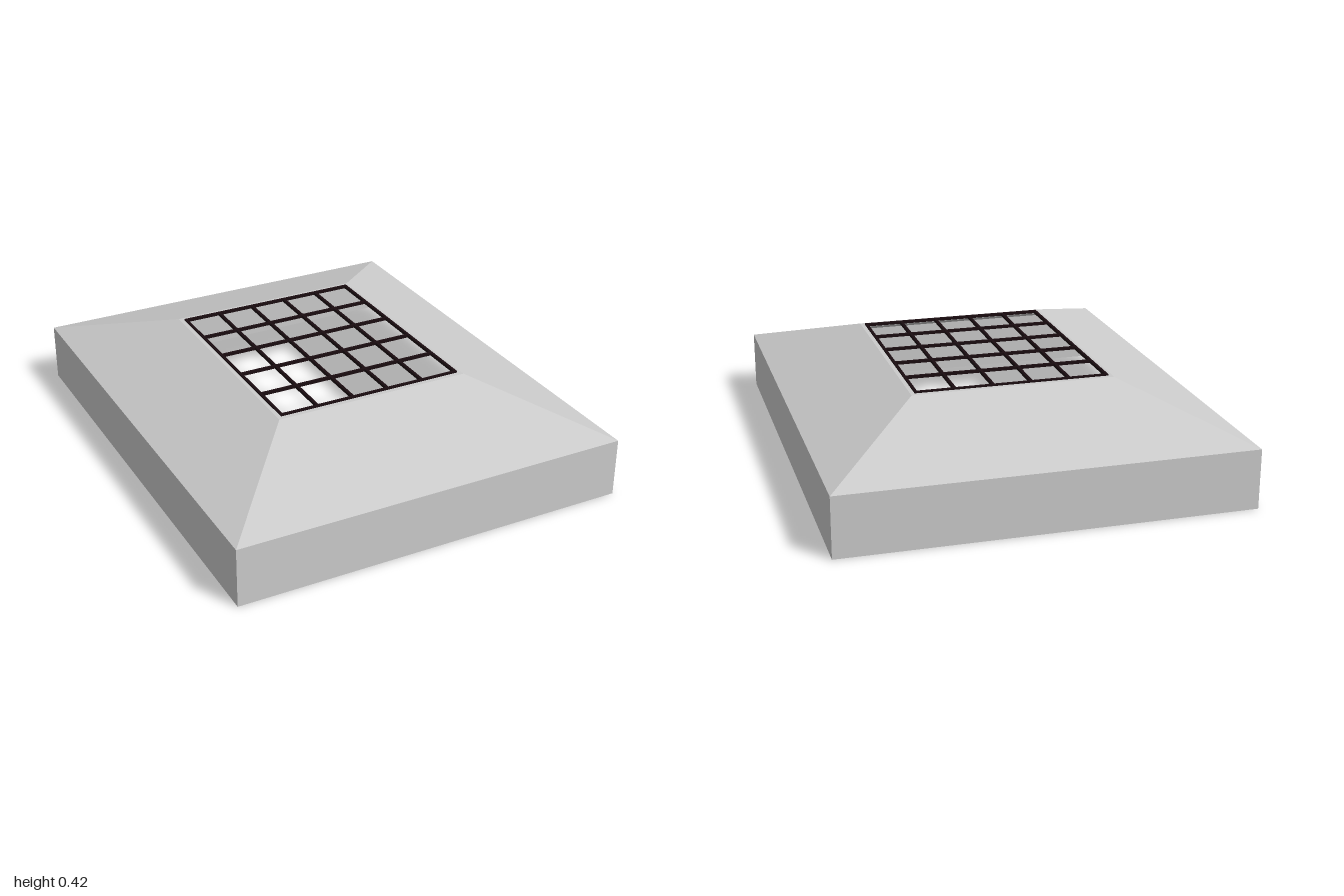
import * as THREE from 'three';

// Closed shell made by joining rectangular rings [halfX, y, halfZ] in order
function ringShell(rings) {
  const corners = [[1, 1], [1, -1], [-1, -1], [-1, 1]];
  const pos = [];
  const point = (r, i) => {
    const [sx, sz] = corners[i % 4];
    return [r[0] * sx, r[1], r[2] * sz];
  };
  rings.forEach((lower, k) => {
    const upper = rings[(k + 1) % rings.length];
    for (let i = 0; i < 4; i++) {
      const a = point(lower, i), b = point(lower, i + 1);
      const c = point(upper, i + 1), d = point(upper, i);
      pos.push(...a, ...b, ...c, ...a, ...c, ...d);
    }
  });
  const g = new THREE.BufferGeometry();
  g.setAttribute('position', new THREE.Float32BufferAttribute(pos, 3));
  g.computeVertexNormals();
  return g;
}

export function createModel() {
  const model = new THREE.Group();
  const shellMat = new THREE.MeshStandardMaterial({ color: 0xcccccc, flatShading: true });
  const barMat = new THREE.MeshStandardMaterial({ color: 0x1a0c10, flatShading: true });

  // Hollow hood: straight skirt, sloped roof, narrow lip round the opening
  const hood = new THREE.Mesh(ringShell([
    [0.815, 0, 0.985],
    [0.83, 0, 1],
    [0.83, 0.245, 1],
    [0.415, 0.411, 0.5],
    [0.398, 0.411, 0.48],
    [0.398, 0.4, 0.48],
    [0.815, 0.235, 0.985],
  ]), shellMat);
  hood.name = 'hood';
  model.add(hood);

  // Grille of thin bars, five cells each way, outer bars forming the frame
  const grille = new THREE.Group();
  grille.name = 'grille';
  const hx = 0.392, hz = 0.472, t = 0.012, cells = 5, y = 0.411;
  const addBar = (name, w, d, x, z) => {
    const bar = new THREE.Mesh(new THREE.BoxGeometry(w, t, d), barMat);
    bar.name = name;
    bar.position.set(x, y, z);
    grille.add(bar);
  };
  for (let i = 0; i <= cells; i++) {
    const s = (i / cells) * 2 - 1;
    addBar('lengthBar', t, 2 * hz + t, s * hx, 0);
    addBar('crossBar', 2 * hx + t, t, 0, s * hz);
  }
  model.add(grille);

  return model;
}
